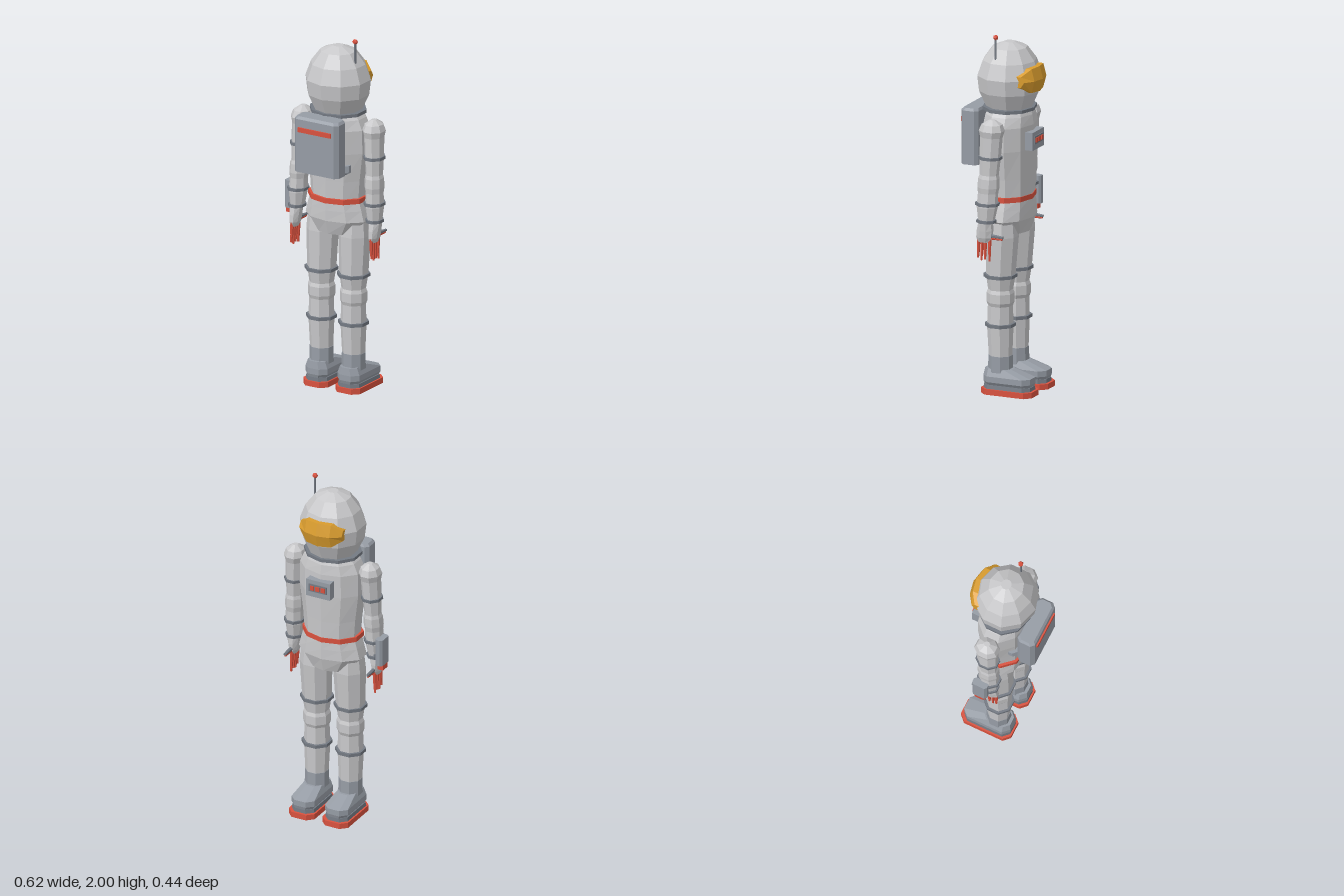
import * as THREE from 'three';

const mat = (name, color) => Object.assign(new THREE.MeshStandardMaterial({ color }), { name });

// Skin a list of closed loops (counter-clockwise about the sweep direction), capped, faceted.
function loft(loops) {
  const out = [];
  const tri = (...p) => p.forEach((v) => out.push(v[0], v[1], v[2]));
  const n = loops[0].length;
  const mid = (l) => [0, 1, 2].map((k) => l.reduce((s, p) => s + p[k], 0) / n);
  const first = loops[0], last = loops[loops.length - 1];
  const c0 = mid(first), c1 = mid(last);
  for (let i = 0; i < n; i++) {
    const j = (i + 1) % n;
    tri(c0, first[j], first[i]);
    tri(c1, last[i], last[j]);
    for (let k = 0; k < loops.length - 1; k++) {
      const a = loops[k], b = loops[k + 1];
      tri(a[i], a[j], b[j]);
      tri(a[i], b[j], b[i]);
    }
  }
  const g = new THREE.BufferGeometry();
  g.setAttribute('position', new THREE.Float32BufferAttribute(out, 3));
  g.computeVertexNormals();
  return g;
}

// Horizontal ten-sided ring with a corner at front and back.
const ten = (y, rx, rz, z = -0.02) => Array.from({ length: 10 }, (_, i) => {
  const a = (i / 10) * Math.PI * 2;
  return [Math.sin(a) * rx, y, z + Math.cos(a) * rz];
});
// Horizontal octagon with flat front and sides.
const oct = (x, y, z, rx, rz) => Array.from({ length: 8 }, (_, i) => {
  const a = ((i + 0.5) / 8) * Math.PI * 2, k = 1 / Math.cos(Math.PI / 8);
  return [x + Math.sin(a) * rx * k, y, z + Math.cos(a) * rz * k];
});
// Horizontal rectangle with cut corners.
const plan = (x, y, h, z0, z1, c) => [
  [-h + c, z1], [h - c, z1], [h, z1 - c], [h, z0 + c],
  [h - c, z0], [-h + c, z0], [-h, z0 + c], [-h, z1 - c],
].map(([px, pz]) => [x + px, y, pz]);

export function createModel() {
  const suit = mat('suit grey', 0xc8c8ca);
  const grey = mat('equipment grey', 0x969ca5);
  const dark = mat('joint grey', 0x747a83);
  const red = mat('red', 0xd9523f);
  const gold = mat('visor gold', 0xd99c2e);

  const model = new THREE.Group();
  const body = new THREE.Group();
  body.name = 'astronaut';
  body.position.x = 0.015;
  model.add(body);

  const add = (name, geo, m, x = 0, y = 0, z = 0) => {
    const mesh = new THREE.Mesh(geo, m);
    mesh.name = name;
    mesh.position.set(x, y, z);
    body.add(mesh);
    return mesh;
  };
  const box = (name, w, h, d, m, x, y, z) => add(name, new THREE.BoxGeometry(w, h, d), m, x, y, z);
  const rod = (name, r0, r1, from, to, m) => {
    const a = new THREE.Vector3(...from), b = new THREE.Vector3(...to);
    const g = new THREE.CylinderGeometry(r1, r0, a.distanceTo(b), 6).toNonIndexed();
    g.computeVertexNormals();
    const mesh = add(name, g, m, ...a.clone().add(b).multiplyScalar(0.5).toArray());
    mesh.quaternion.setFromUnitVectors(new THREE.Vector3(0, 1, 0), b.sub(a).normalize());
  };

  // Helmet, visor, neck ring and antenna
  add('helmet', loft([[1.585, 0.135], [1.67, 0.174], [1.755, 0.184], [1.84, 0.153], [1.91, 0.1], [1.938, 0.03]]
    .map(([y, r]) => ten(y, r, r * 0.96))), suit);
  add('visor', loft([[-0.13, -0.165, 0.03], [-0.075, -0.203, 0.066], [0, -0.218, 0.07], [0.075, -0.203, 0.066], [0.13, -0.165, 0.03]]
    .map(([x, z, h]) => [[h, z + 0.018], [h, z + 0.055], [0, z + 0.07], [-h, z + 0.055], [-h, z + 0.018], [0, z]]
      .map(([y, pz]) => [x, 1.75 + y, pz]).reverse()).map((l) => l.reverse())), gold);
  add('neckRing', loft([ten(1.567, 0.162, 0.145), ten(1.585, 0.162, 0.145)]), dark);
  rod('antenna', 0.006, 0.006, [0.125, 1.84, 0.005], [0.125, 1.985, 0.005], dark);
  add('antennaTip', new THREE.IcosahedronGeometry(0.016, 0), red, 0.125, 1.985, 0.005);

  // Torso, pelvis and belt
  add('torso', loft([[1.07, 0.158, 0.128], [1.2, 0.168, 0.132], [1.36, 0.189, 0.138], [1.49, 0.186, 0.138], [1.545, 0.16, 0.13], [1.57, 0.14, 0.12]]
    .map(([y, rx, rz]) => ten(y, rx, rz, -0.025))), suit);
  add('pelvis', loft([[0.89, 0.125, 0.108], [0.97, 0.196, 0.13], [1.03, 0.18, 0.13], [1.09, 0.162, 0.128]]
    .map(([y, rx, rz]) => ten(y, rx, rz, -0.025))), suit);
  add('belt', loft([ten(1.074, 0.174, 0.137), ten(1.102, 0.174, 0.137)]), red);

  // Backpack
  add('backpack', loft([plan(0, 1.26, 0.141, 0.108, 0.212, 0.02), plan(0, 1.56, 0.141, 0.108, 0.212, 0.02),
    plan(0, 1.574, 0.13, 0.115, 0.2, 0.02)]), grey);
  box('backpackStripe', 0.21, 0.026, 0.009, red, 0, 1.503, 0.216);
  add('backpackMount', loft([plan(0, 1.235, 0.1, 0.03, 0.09, 0.02), plan(0, 1.26, 0.135, 0.03, 0.115, 0.03),
    plan(0, 1.3, 0.135, 0.03, 0.11, 0.03)]), grey);

  // Chest control panel
  box('chestPanel', 0.145, 0.1, 0.045, grey, 0, 1.41, -0.168);
  box('panelInset', 0.11, 0.044, 0.008, dark, 0, 1.415, -0.192);
  for (const x of [-0.033, 0, 0.033]) box('panelButton', 0.024, 0.026, 0.008, red, x, 1.415, -0.197);

  for (const s of [-1, 1]) {
    const side = s > 0 ? 'left' : 'right';

    // Arm, leaning slightly outward and back toward the wrist
    const armAt = (y) => {
      const t = (1.555 - y) / 0.6;
      return [s * (0.228 + 0.022 * t), y, -0.024 + 0.028 * t];
    };
    const armRing = (y, r, k = 0.86) => oct(...armAt(y), r * k, r);
    add(side + 'Arm', loft([[0.99, 0.042], [1.07, 0.054], [1.15, 0.052], [1.18, 0.057], [1.23, 0.055], [1.25, 0.049],
      [1.35, 0.055], [1.46, 0.058], [1.495, 0.067], [1.53, 0.054], [1.555, 0.016]]
      .map(([y, r]) => armRing(y, r))), suit);
    for (const [y, r] of [[1.345, 0.063], [1.088, 0.063], [0.992, 0.052]]) {
      add(side + 'ArmBand', loft([armRing(y - 0.008, r), armRing(y + 0.008, r)]), dark);
    }

    // Glove, fingers and thumb
    const hx = s * 0.254;
    add(side + 'Glove', loft([oct(hx, 0.873, 0.015, 0.014, 0.034), oct(hx, 0.9, 0.012, 0.025, 0.044),
      oct(hx, 0.94, 0.008, 0.03, 0.044), oct(hx, 0.985, 0.004, 0.034, 0.038)]), suit);
    for (const [z, tip] of [[0.046, 0.785], [0.026, 0.772], [0.006, 0.778], [-0.02, 0.77]]) {
      rod(side + 'Finger', 0.011, 0.009, [hx, 0.9, z], [hx + s * 0.002, 0.83, z], red);
      rod(side + 'FingerTip', 0.009, 0.006, [hx + s * 0.002, 0.83, z], [hx + s * 0.004, tip, z * 1.05], red);
    }
    rod(side + 'Thumb', 0.012, 0.008, [hx, 0.912, -0.02], [hx, 0.908, -0.1], dark);
    rod(side + 'ThumbPad', 0.009, 0.006, [hx, 0.9, -0.02], [hx, 0.898, -0.095], red);

    // Leg with bands
    const lx = s * 0.103;
    const leg = [[0.19, 0.058, -0.014], [0.37, 0.066, -0.012], [0.49, 0.063, -0.013], [0.51, 0.07, -0.014], [0.56, 0.07, -0.014],
      [0.58, 0.063, -0.014], [0.66, 0.074, -0.015], [0.88, 0.083, -0.024], [0.96, 0.075, -0.025]];
    add(side + 'Leg', loft(leg.map(([y, r, z]) => oct(lx, y, z, r, r))), suit);
    for (const [y, r] of [[0.657, 0.085], [0.383, 0.078]]) {
      add(side + 'LegBand', loft([oct(lx, y - 0.009, -0.013, r, r), oct(lx, y + 0.009, -0.013, r, r)]), dark);
    }

    // Boot
    add(side + 'BootShaft', loft([oct(lx, 0.08, -0.014, 0.062, 0.064), oct(lx, 0.212, -0.014, 0.06, 0.061)]), grey);
    add(side + 'Boot', loft([plan(lx, 0.05, 0.058, -0.2, 0.066, 0.03), plan(lx, 0.068, 0.07, -0.206, 0.072, 0.035),
      plan(lx, 0.1, 0.07, -0.206, 0.072, 0.035), plan(lx, 0.14, 0.054, -0.09, 0.066, 0.03)]), grey);
    add(side + 'Midsole', loft([plan(lx, 0.028, 0.07, -0.206, 0.072, 0.035), plan(lx, 0.052, 0.066, -0.204, 0.07, 0.035)]), dark);
    add(side + 'Sole', loft([plan(lx, 0, 0.079, -0.22, 0.081, 0.035), plan(lx, 0.031, 0.079, -0.22, 0.081, 0.035)]), red);
  }

  // Forearm device on the right arm
  add('forearmDevice', loft([plan(-0.303, 0.965, 0.022, -0.07, 0.018, 0.012), plan(-0.303, 1.12, 0.022, -0.07, 0.018, 0.012)]), grey);
  box('deviceMount', 0.04, 0.03, 0.05, dark, -0.28, 1.0, -0.02);
  box('deviceMount', 0.04, 0.03, 0.05, dark, -0.28, 1.09, -0.02);
  box('deviceTip', 0.034, 0.032, 0.05, red, -0.306, 0.95, -0.026);

  return model;
}
